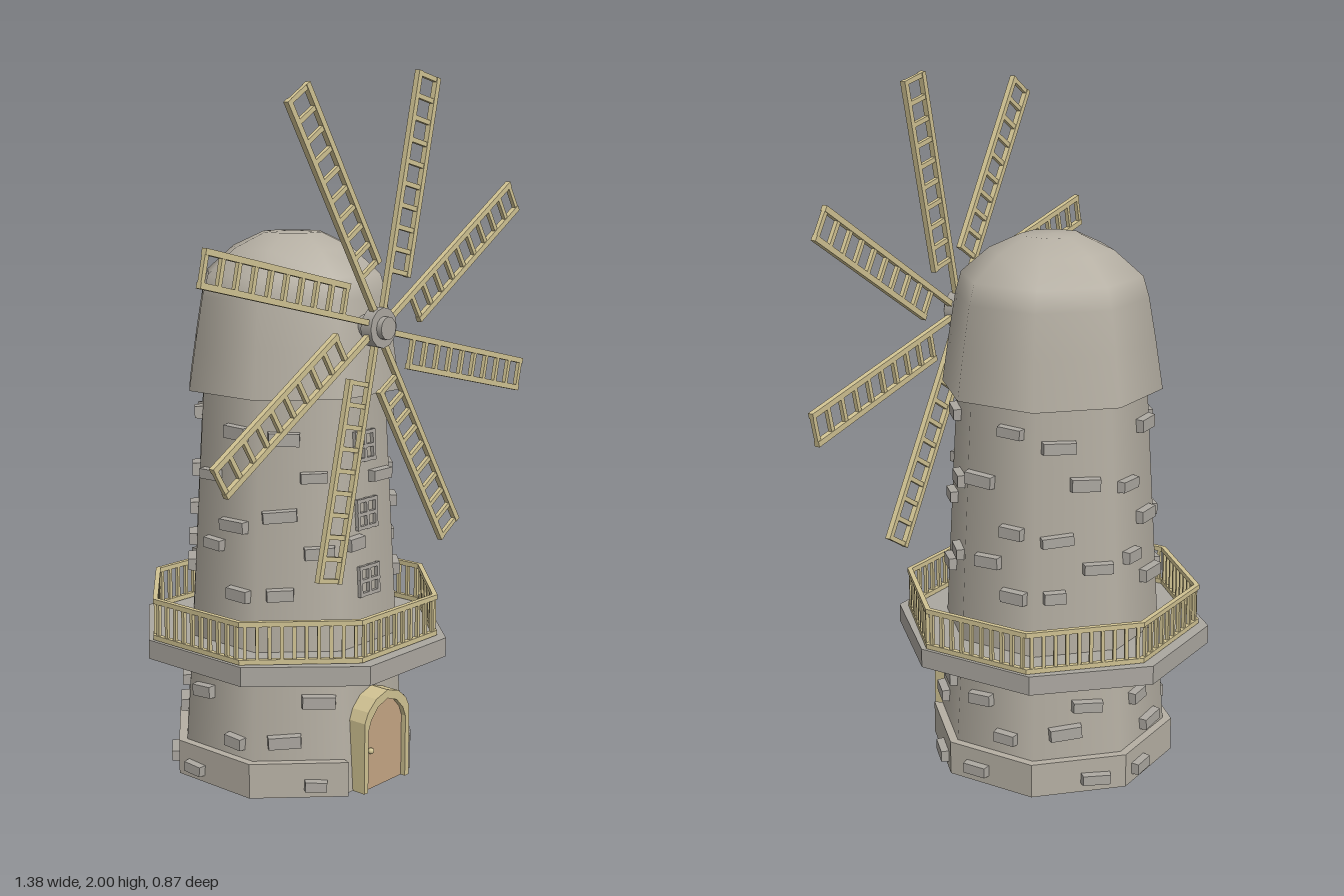
import * as THREE from 'three';

function mat(name, color) {
  const m = new THREE.MeshStandardMaterial({ color });
  m.name = name;
  return m;
}
const wall = mat('wallStone', 0xb5afa3);
const stone = mat('greyStone', 0xaba7a0);
const wood = mat('paleWood', 0xd0c292);
const doorWood = mat('doorWood', 0xc3a483);

const K = 1 / Math.cos(Math.PI / 8); // octagon flat distance -> corner radius

function add(parent, name, geo, material, x = 0, y = 0, z = 0) {
  const m = new THREE.Mesh(geo, material);
  m.name = name;
  m.position.set(x, y, z);
  parent.add(m);
  return m;
}
function addGroup(parent, name) {
  const g = new THREE.Group();
  g.name = name;
  parent.add(g);
  return g;
}
const box = (w, h, d) => new THREE.BoxGeometry(w, h, d);
const extrude = (shape, depth) => new THREE.ExtrudeGeometry(shape, { depth, bevelEnabled: false });
const slab = (shape, h) => extrude(shape, h).rotateX(-Math.PI / 2);

// Eight-sided shell through [flat distance, y] points, flats on the axes
const octLathe = (pts) => new THREE.LatheGeometry(
  pts.map(([a, y]) => new THREE.Vector2(a * K, y)), 8, Math.PI / 8);

// Octagon corners, starting beside the front flat and going round
const octPoints = (a, sz = 1) => Array.from({ length: 8 }, (_, i) => {
  const t = (i + 0.5) * Math.PI / 4 - Math.PI / 2;
  return new THREE.Vector2(a * K * Math.cos(t), a * K * sz * Math.sin(t));
});

// Flat distance of the tower wall at height y
const wallAt = (y) => (y < 0.36 ? 0.318 - y * 0.064 : 0.295 - (y - 0.36) * 0.053);

// Pointed arch outline, from the right foot over to the left foot
function archPoints(w, h) {
  const half = [[1, h], [1, 0.075], [0.85, 0.045], [0.5, 0.015]]
    .map(([fx, drop]) => new THREE.Vector2(w * fx, h - drop));
  const mirrored = half.map((p) => new THREE.Vector2(-p.x, p.y)).reverse();
  return [...half, new THREE.Vector2(0, h), ...mirrored];
}

function tower(g) {
  add(g, 'lowerWall', octLathe([[0.318, 0], [0.295, 0.36]]), wall);
  add(g, 'upperWall', octLathe([[0.295, 0.36], [0.255, 1.12]]), wall);
  add(g, 'towerBottom', octLathe([[0, 0], [0.318, 0]]), wall);
  // Plinth wraps every side except the doorway
  const band = new THREE.Shape([...octPoints(0.335), ...octPoints(0.3).reverse()]);
  add(g, 'plinth', slab(band, 0.1), wall);
  // Cap
  add(g, 'dome', octLathe([[0.295, 1.118], [0.275, 1.26], [0.256, 1.38], [0.24, 1.44], [0.165, 1.51],
    [0.08, 1.552], [0, 1.555]]), wall);
  add(g, 'domeUnderside', octLathe([[0.24, 1.118], [0.295, 1.118]]), wall);
}

// Worn stones standing out of the wall, one per row on each side
function bricks(g) {
  let seed = 7;
  const jitter = (amount) => {
    seed = (seed * 16807) % 2147483647;
    return (seed / 2147483647 * 2 - 1) * amount;
  };
  for (let side = 0; side < 8; side++) {
    const pivot = addGroup(g, 'wallBricks');
    pivot.rotation.y = side * Math.PI / 4;
    const rows = side === 0 ? [0.72, 0.87] : [0.04, 0.16, 0.265, 0.57, 0.67, 0.77, 0.88, 1.02];
    rows.forEach((row, i) => {
      const geo = box(0.085 + jitter(0.018), 0.038 + jitter(0.005), 0.05);
      // Smaller outer face
      const p = geo.attributes.position;
      for (let k = 0; k < p.count; k++) if (p.getZ(k) > 0) p.setXY(k, p.getX(k) * 0.9, p.getY(k) * 0.82);
      geo.computeVertexNormals();
      const u = ((i + side) % 2 ? 0.05 : -0.05) + jitter(0.02);
      const onPlinth = row < 0.1;
      const y = row + jitter(onPlinth ? 0.004 : 0.025);
      const brick = add(pivot, 'brick', geo, stone, u, y, (onPlinth ? 0.335 : wallAt(y)) - 0.003);
      brick.rotation.z = jitter(0.07);
    });
  }
}

function balcony(g) {
  add(g, 'balconyFloor', slab(new THREE.Shape(octPoints(0.41, 1.06)), 0.055), stone, 0, 0.355, 0);
  const railing = addGroup(g, 'railing');
  for (const y of [0.412, 0.518]) {
    const s = new THREE.Shape(octPoints(0.404));
    s.holes.push(new THREE.Path(octPoints(0.39)));
    add(railing, 'rail', slab(s, 0.014), wood, 0, y, 0);
  }
  for (let side = 0; side < 8; side++) {
    const pivot = addGroup(railing, 'balusters');
    pivot.rotation.y = side * Math.PI / 4;
    for (let i = 0; i < 10; i++) add(pivot, 'baluster', box(0.01, 0.1, 0.01), wood, (i - 4.5) * 0.0335, 0.467, 0.397);
  }
}

function door(g) {
  const frame = new THREE.Shape([...archPoints(0.1, 0.282), ...archPoints(0.083, 0.257).reverse()]);
  add(g, 'doorFrame', extrude(frame, 0.08), wood, 0, 0, 0.28);
  add(g, 'door', extrude(new THREE.Shape(archPoints(0.085, 0.259)), 0.06), doorWood, 0, 0, 0.285);
  add(g, 'doorKnob', new THREE.SphereGeometry(0.009, 10, 8), wood, -0.06, 0.115, 0.35);
}

function windows(g) {
  for (const y of [0.59, 0.78, 0.97]) {
    const w = addGroup(g, 'window');
    w.position.set(0, y, wallAt(y));
    w.rotation.x = -0.053;
    for (const o of [-0.038, 0, 0.038]) {
      add(w, 'windowUpright', box(0.01, 0.088, 0.022), stone, o, 0, 0);
      add(w, 'windowCrossbar', box(0.088, 0.01, 0.022), stone, 0, o, 0);
    }
  }
}

function sails(g) {
  const wheel = addGroup(g, 'sailWheel');
  wheel.position.set(0, 1.305, 0.315);
  const disc = (name, r, len, z) => add(wheel, name,
    new THREE.CylinderGeometry(r, r, len, 12).rotateX(Math.PI / 2), stone, 0, 0, z);
  disc('hub', 0.056, 0.036, 0);
  disc('axle', 0.032, 0.12, -0.025);
  for (let i = 0; i < 8; i++) {
    const sail = addGroup(wheel, 'sail');
    sail.rotation.z = THREE.MathUtils.degToRad(77 + i * 45);
    // Radial spar, offset outer spar and rungs
    add(sail, 'mainSpar', box(0.68, 0.016, 0.016), wood, 0.368, -0.006, 0);
    add(sail, 'outerSpar', box(0.555, 0.016, 0.016), wood, 0.43, -0.089, 0);
    for (let k = 0; k < 10; k++) add(sail, 'rung', box(0.013, 0.08, 0.012), wood, 0.16 + k * 0.0601, -0.047, 0);
  }
}

export function createModel() {
  const g = new THREE.Group();
  g.name = 'windmill';
  tower(g);
  bricks(g);
  balcony(g);
  door(g);
  windows(g);
  sails(g);
  return g;
}
